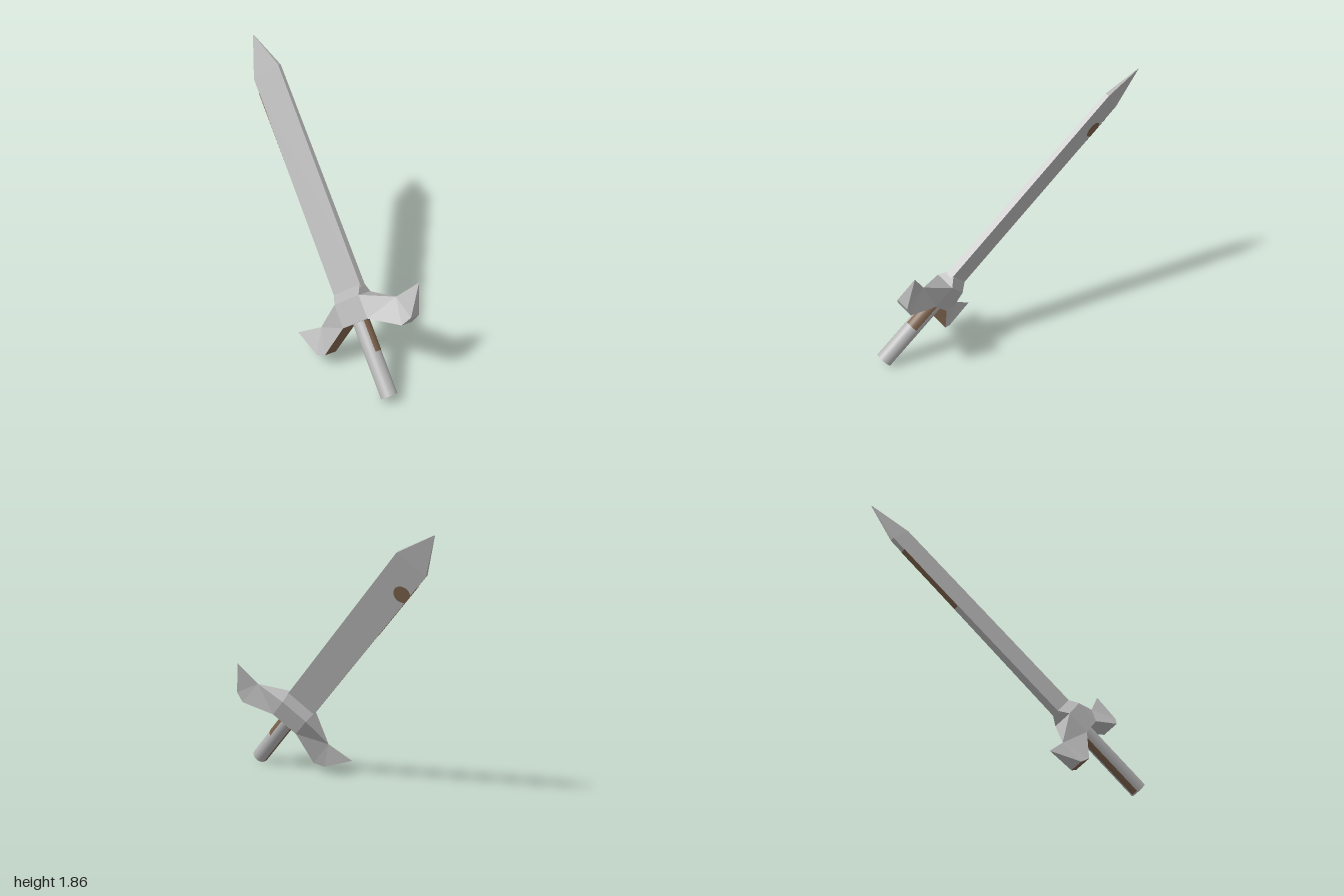
import * as THREE from 'three';

const steel = new THREE.MeshStandardMaterial({ color: 0xb6b6b6 });
steel.name = 'steel';
const brown = new THREE.MeshStandardMaterial({ color: 0x7c614c });
brown.name = 'brown';

// Flat faces around an inner point; each triangle is turned to face away from it
function facets(name, faces, inner, material) {
  const c = new THREE.Vector3(...inner), pos = [];
  for (const f of faces) {
    const v = f.map((p) => new THREE.Vector3(...p));
    for (let i = 1; i < v.length - 1; i++) {
      const n = v[i].clone().sub(v[0]).cross(v[i + 1].clone().sub(v[0]));
      const out = n.dot(v[0].clone().sub(c)) > 0;
      for (const p of out ? [v[0], v[i], v[i + 1]] : [v[0], v[i + 1], v[i]]) pos.push(p.x, p.y, p.z);
    }
  }
  const g = new THREE.BufferGeometry();
  g.setAttribute('position', new THREE.Float32BufferAttribute(pos, 3));
  g.computeVertexNormals();
  const m = new THREE.Mesh(g, material);
  m.name = name;
  return m;
}

// Rectangle ring at height y with half sizes w and t
const ring = (y, w, t) => [[w, y, t], [-w, y, t], [-w, y, -t], [w, y, -t]];
const bridge = (a, b) => a.map((p, i) => [p, a[(i + 1) % 4], b[(i + 1) % 4], b[i]]);

export function createModel() {
  const root = new THREE.Group();
  root.name = 'sword';
  // Sword is modelled upright (y along the blade, x along the guard), then tilted
  const sword = new THREE.Group();
  sword.name = 'tiltedSword';
  root.add(sword);

  // Blade: long tapered bar closing to a point
  const base = ring(0.75, 0.12, 0.026), shoulder = ring(2.39, 0.12, 0.015);
  const tip = ring(2.674, 0.002, 0.002);
  sword.add(facets('blade', [...bridge(base, shoulder), ...bridge(shoulder, tip), tip], [0, 1.5, 0], steel));

  // Guard block with a collar narrowing to the blade
  const low = ring(0.535, 0.11, 0.072), high = ring(0.705, 0.11, 0.072);
  const collar = ring(0.77, 0.118, 0.026);
  sword.add(facets('guardBlock',
    [low, [low[0], low[1], high[1], high[0]], [low[2], low[3], high[3], high[2]], ...bridge(high, collar), collar],
    [0, 0.62, 0], steel));

  // Guard arms: triangular section, ending in an upturned point
  for (const s of [1, -1]) {
    const end = [s * 0.55, 0.63, 0], ridge = [s * 0.34, 0.602, 0];
    const B = (k) => [s * 0.11, 0.535, k * 0.072], C = (k) => [s * 0.11, 0.705, k * 0.072];
    const Q = (k) => [s * 0.345, 0.41, k * 0.065], P = (k) => [s * 0.425, 0.435, k * 0.048];
    const faces = [[C(1), C(-1), ridge], [P(1), P(-1), end]];
    for (const k of [1, -1]) {
      faces.push([C(k), B(k), ridge], [B(k), Q(k), ridge], [ridge, Q(k), P(k)], [ridge, P(k), end]);
    }
    const under = [[B(1), B(-1), Q(-1), Q(1)], [Q(1), Q(-1), P(-1), P(1)]];
    const inner = [s * 0.3, 0.53, 0], side = s > 0 ? 'upper' : 'lower';
    sword.add(facets(side + 'GuardArm', faces, inner, steel));
    sword.add(facets(side + 'GuardArmUnderside', under, inner, s > 0 ? steel : brown));
  }

  // Round handle
  const handle = new THREE.Mesh(new THREE.CylinderGeometry(0.059, 0.059, 0.56, 32), steel);
  handle.name = 'handle';
  handle.position.y = 0.28;
  sword.add(handle);

  // Brown patches wrapped on the handle: [start angle, end angle, bottom, top]
  for (const [a0, a1, y0, y1] of [[-35, 58, 0.31, 0.535], [150, 197, 0.01, 0.535]]) {
    const rad = Math.PI / 180;
    const g = new THREE.CylinderGeometry(0.0605, 0.0605, y1 - y0, 12, 1, true, (a0 + 90) * rad, (a1 - a0) * rad);
    const patch = new THREE.Mesh(g, brown);
    patch.name = 'handlePatch';
    patch.position.y = (y0 + y1) / 2;
    sword.add(patch);
  }

  // Brown spot on one blade face, cut off at the blade edge
  const spotGeo = new THREE.CircleGeometry(0.06, 40);
  const sp = spotGeo.attributes.position;
  for (let i = 0; i < sp.count; i++) sp.setX(i, Math.min(sp.getX(i), 0.047));
  const spot = new THREE.Mesh(spotGeo, brown);
  spot.name = 'bladeSpot';
  spot.rotation.set(0.0067, Math.PI, 0);
  spot.position.set(-0.072, 2.16, -0.0185);
  sword.add(spot);

  // Brown strip along the lower blade edge
  const strip = new THREE.Mesh(new THREE.BoxGeometry(0.004, 0.53, 0.034), brown);
  strip.name = 'bladeEdgeStrip';
  strip.position.set(-0.12, 2.015, 0);
  sword.add(strip);

  // Tilt into the final pose
  const d = new THREE.Vector3(-0.067, 0.677, -0.733).normalize();
  const w = new THREE.Vector3(0.57, 0.63, 0.53);
  w.addScaledVector(d, -w.dot(d)).normalize();
  const t = w.clone().cross(d);
  sword.quaternion.setFromRotationMatrix(new THREE.Matrix4().makeBasis(w, d, t));
  sword.position.set(0.04, 0.045, 0.96);
  return root;
}
